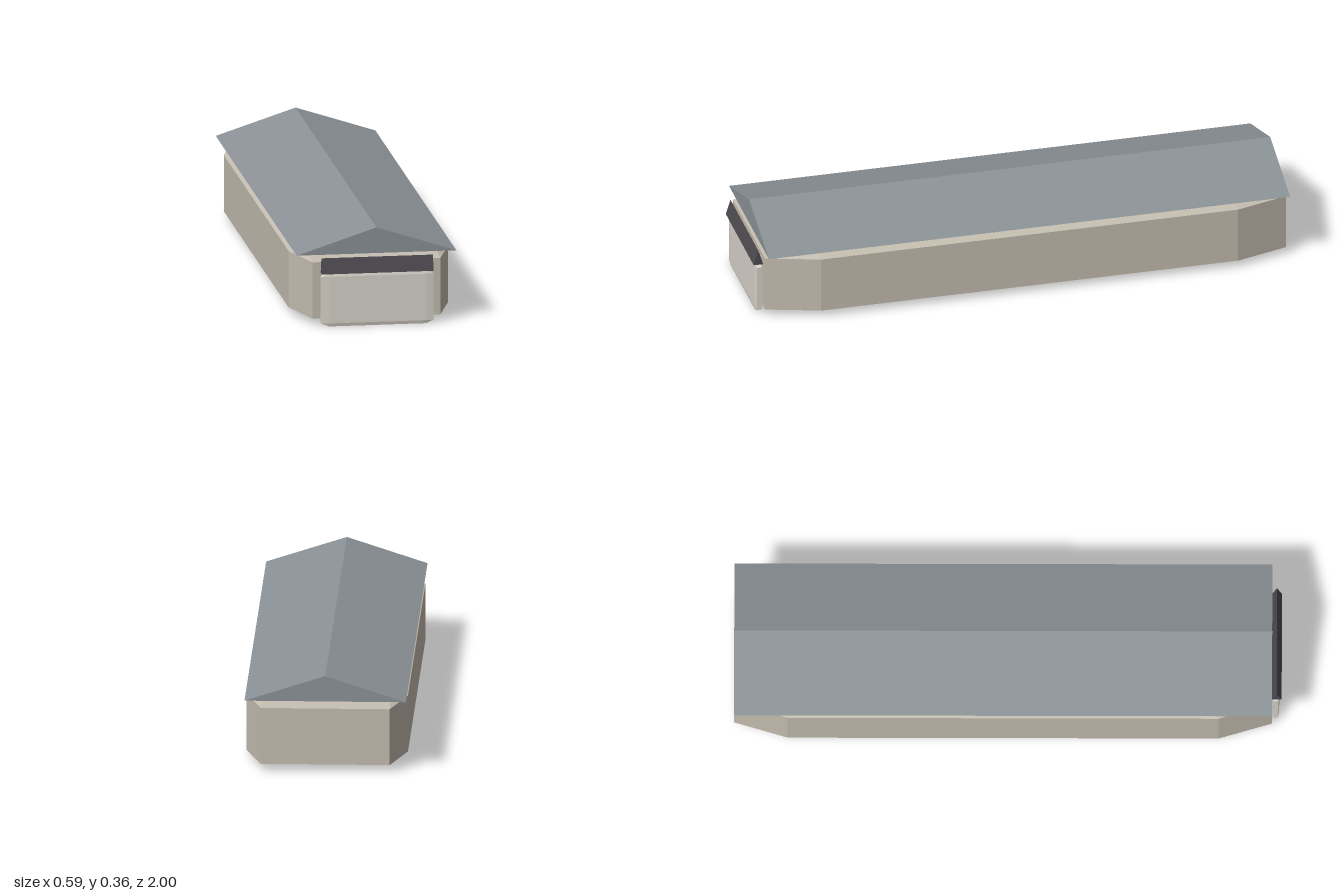
import * as THREE from 'three';
import { ConvexGeometry } from 'three/addons/geometries/ConvexGeometry.js';

const material = (color) => new THREE.MeshStandardMaterial({ color, flatShading: true });

function addMesh(group, name, geometry, mat) {
  const mesh = new THREE.Mesh(geometry, mat);
  mesh.name = name;
  group.add(mesh);
  return mesh;
}

// Box between two corners with every edge cut, each axis by its own inset
function chamferedBox(min, max, inset) {
  const centre = min.clone().add(max).multiplyScalar(0.5);
  const half = max.clone().sub(min).multiplyScalar(0.5);
  const points = [];
  for (const sx of [-1, 1]) for (const sy of [-1, 1]) for (const sz of [-1, 1]) {
    for (const axis of ['x', 'y', 'z']) {
      const p = half.clone().sub(inset);
      p[axis] = half[axis];
      points.push(p.multiply(new THREE.Vector3(sx, sy, sz)).add(centre));
    }
  }
  return new ConvexGeometry(points);
}

// Triangular prism running along z from z0 to z1
function gable(width, y0, y1, z0, z1) {
  const shape = new THREE.Shape();
  shape.moveTo(-width / 2, y0);
  shape.lineTo(width / 2, y0);
  shape.lineTo(0, y1);
  shape.closePath();
  return new THREE.ExtrudeGeometry(shape, { depth: z1 - z0, bevelEnabled: false }).translate(0, 0, z0);
}

export function createModel() {
  const group = new THREE.Group();
  group.name = 'longHouse';
  const V = (x, y, z) => new THREE.Vector3(x, y, z);

  // Main hall
  addMesh(group, 'hall',
    chamferedBox(V(-0.295, 0, -1), V(0.295, 0.263, 0.965), V(0.059, 0.026, 0.196)),
    material(0xc4bdb0));

  // Pitched roof
  addMesh(group, 'roof', gable(0.59, 0.264, 0.36, -1, 0.965), material(0x8b9297));

  // Entrance panel on the front wall
  addMesh(group, 'door',
    chamferedBox(V(-0.207, 0, 0.966), V(0.207, 0.198, 0.991), V(0.027, 0.012, 0.003)),
    material(0xd9d4cb));

  // Small ridge canopy above the entrance, its ridge along x
  const canopy = addMesh(group, 'canopy',
    gable(0.036, 0.198, 0.255, -0.206, 0.206), material(0x4c4a50));
  canopy.rotation.y = Math.PI / 2;
  canopy.position.z = 0.982;

  return group;
}
